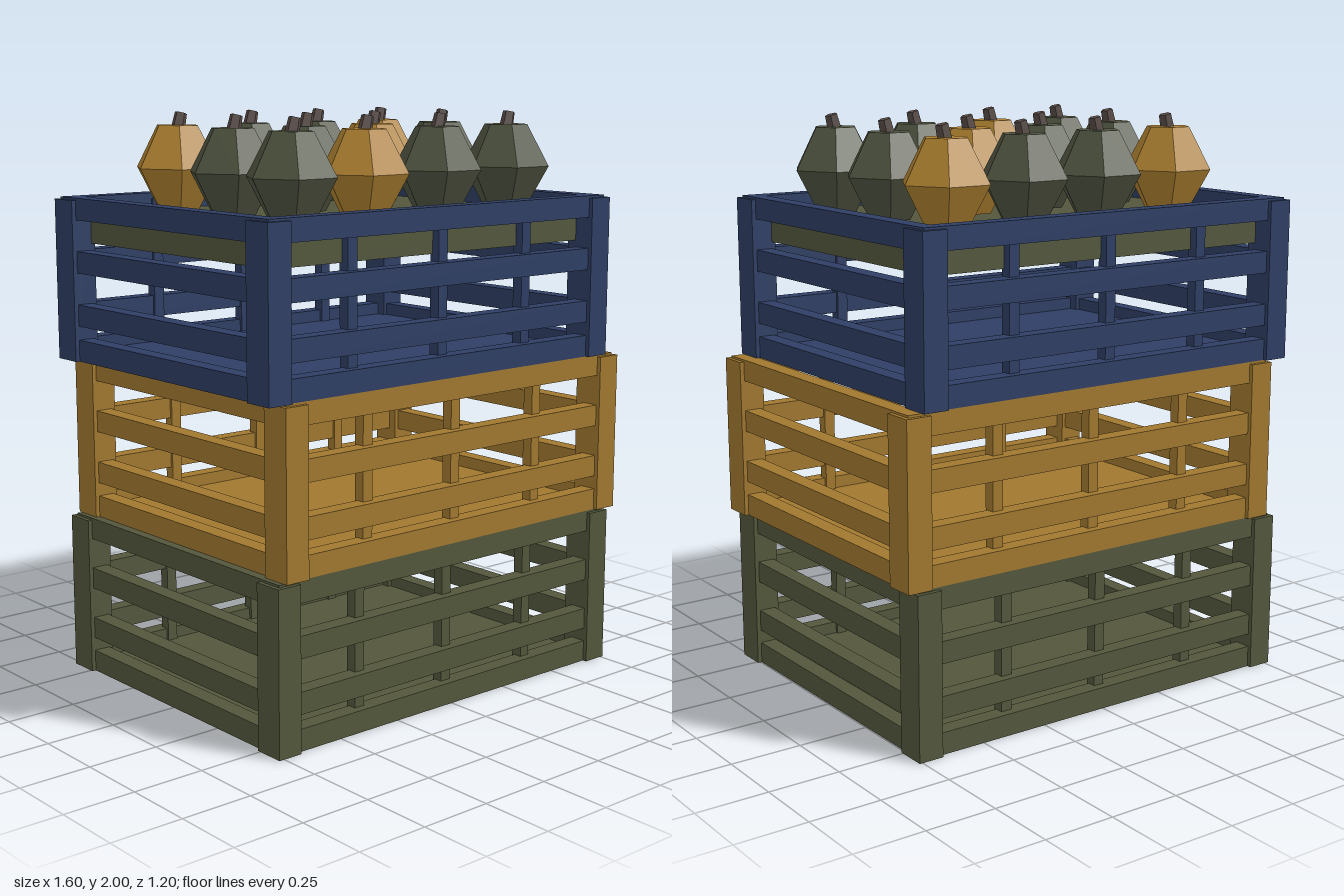
import * as THREE from 'three';

const mat = (name, color) => {
  const m = new THREE.MeshStandardMaterial({ color });
  m.name = name;
  return m;
};

export function createModel() {
  const model = new THREE.Group();
  model.name = 'crateStack';

  const green = mat('olive paint', 0x53573c);
  const blue = mat('navy paint', 0x2e3e64);
  const ochre = mat('ochre paint', 0xa1782f);
  const greenGourd = mat('green gourd skin', 0x4f5440);
  const ochreGourd = mat('ochre gourd skin', 0xb08231);
  const stemMat = mat('stem brown', 0x574a45);
  greenGourd.flatShading = ochreGourd.flatShading = stemMat.flatShading = true;

  // box given by its centre in x and z and its bottom in y
  const box = (parent, name, material, w, h, d, x, y, z) => {
    const mesh = new THREE.Mesh(new THREE.BoxGeometry(w, h, d), material);
    mesh.name = name;
    mesh.position.set(x, y + h / 2, z);
    parent.add(mesh);
  };

  // slatted crate: floor, four corner posts, four rails per side, inner battens
  const W = 1.53, D = 1.2, H = 0.57;
  const railBottoms = [0, 0.124, 0.31, 0.494];
  const crate = (name, material, x, y) => {
    const g = new THREE.Group();
    g.name = name;
    g.position.set(x, y, 0);
    box(g, 'floor', material, W - 0.06, 0.03, D - 0.06, 0, 0.002, 0);
    for (const s of [-1, 1]) {
      for (const t of [-1, 1]) {
        box(g, 'cornerPost', material, 0.09, 0.562, 0.11, s * (W / 2 - 0.045), 0, t * (D / 2 - 0.055));
      }
      for (const ry of railBottoms) {
        box(g, 'longRail', material, W - 0.03, 0.076, 0.06, 0, ry, s * 0.555);
        box(g, 'sideRail', material, 0.06, 0.076, D - 0.15, s * (W / 2 - 0.045), ry, 0);
      }
      for (const bx of [-0.392, 0, 0.392]) {
        box(g, 'batten', material, 0.04, 0.54, 0.04, bx, 0.01, s * 0.535);
      }
    }
    model.add(g);
    return g;
  };

  crate('bottomCrate', green, -0.004, 0);
  crate('middleCrate', ochre, 0.03, H);
  const top = crate('topCrate', blue, -0.035, 2 * H);

  // filling board that carries the gourds
  box(top, 'fillingBoard', green, W - 0.15, 0.1, D - 0.15, 0, 0.41, 0);

  // faceted gourds with tilted stems
  const gourdGeo = new THREE.LatheGeometry([
    new THREE.Vector2(0, -0.145), new THREE.Vector2(0.077, -0.145),
    new THREE.Vector2(0.157, 0), new THREE.Vector2(0.077, 0.145),
    new THREE.Vector2(0, 0.145),
  ], 6).rotateY(Math.PI / 2);
  const stemGeo = new THREE.CylinderGeometry(0.022, 0.027, 0.08, 5);

  const rows = [
    { z: -0.329, xs: [-0.466, -0.154, 0.154, 0.462], ripe: [0, 3] },
    { z: 0, xs: [-0.474, -0.167, 0.141, 0.47], ripe: [2] },
    { z: 0.325, xs: [-0.487, -0.18, 0.15, 0.483], ripe: [1] },
  ];
  for (const { z, xs, ripe } of rows) {
    xs.forEach((x, i) => {
      const gourd = new THREE.Group();
      gourd.name = 'gourd';
      gourd.position.set(x, 1.81, z);
      const body = new THREE.Mesh(gourdGeo, ripe.includes(i) ? ochreGourd : greenGourd);
      body.name = 'gourdBody';
      const stem = new THREE.Mesh(stemGeo, stemMat);
      stem.name = 'gourdStem';
      stem.position.set(0.006, 0.148, 0);
      stem.rotation.z = -0.25;
      gourd.add(body, stem);
      model.add(gourd);
    });
  }
  return model;
}
